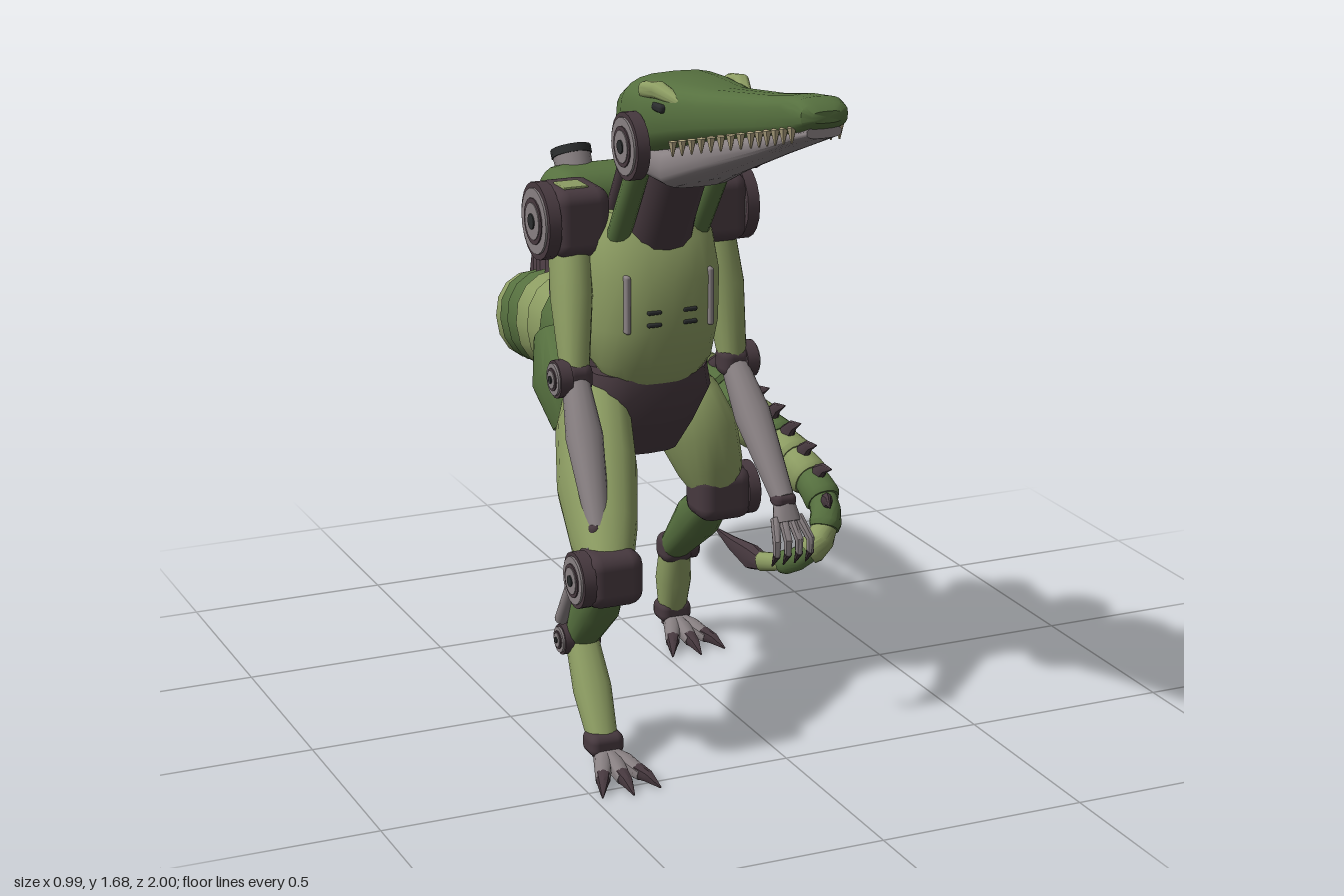
import * as THREE from 'three';
import { toCreasedNormals } from 'three/addons/utils/BufferGeometryUtils.js';
import { RoundedBoxGeometry } from 'three/addons/geometries/RoundedBoxGeometry.js';

const paint = (name, color) => {
  const m = new THREE.MeshStandardMaterial({ color });
  m.name = name;
  return m;
};
const V = (x, y, z) => new THREE.Vector3(x, y, z);
const X = V(1, 0, 0), Y = V(0, 1, 0);

export function createModel() {
  const root = new THREE.Group();
  root.name = 'mechanicalReptile';
  const dark = paint('darkGreen', 0x56703f), light = paint('lightGreen', 0x8c9c62);
  const plum = paint('darkPlum', 0x47393f), grey = paint('metalGrey', 0x888082);
  const black = paint('black', 0x2a2c2d), bone = paint('bone', 0xb3a683);

  const add = (parent, name, geo, mat, x = 0, y = 0, z = 0) => {
    const m = new THREE.Mesh(geo, mat);
    m.name = name;
    m.position.set(x, y, z);
    parent.add(m);
    return m;
  };
  const box = (parent, name, mat, w, h, d, x, y, z, r = 0.02) =>
    add(parent, name, new RoundedBoxGeometry(w, h, d, 2, Math.min(r, w / 2.1, h / 2.1, d / 2.1)), mat, x, y, z);

  // Skin through oval sections [x, y, z, a, b]; a lies along ref, e below 1 is boxier
  const loft = (parent, name, mat, pts, { ref = X, e = 0.85, n = 16, flat = null } = {}) => {
    const c = pts.map(p => V(p[0], p[1], p[2]));
    const pow = v => Math.sign(v) * Math.abs(v) ** e;
    const rings = pts.map((p, i) => {
      const t = flat ? flat.clone() : c[Math.min(i + 1, c.length - 1)].clone().sub(c[Math.max(i - 1, 0)]).normalize();
      const u = ref.clone().addScaledVector(t, -ref.dot(t)).normalize();
      const v = t.clone().cross(u);
      return Array.from({ length: n }, (_, j) => {
        const k = j / n * Math.PI * 2;
        return c[i].clone().addScaledVector(u, pow(Math.cos(k)) * p[3]).addScaledVector(v, pow(Math.sin(k)) * p[4]);
      });
    });
    const out = [], last = rings.length - 1;
    const tri = (...q) => q.forEach(p => out.push(p.x, p.y, p.z));
    for (let j = 0; j < n; j++) {
      const k = (j + 1) % n;
      tri(c[0], rings[0][k], rings[0][j]);
      tri(c[last], rings[last][j], rings[last][k]);
      for (let i = 0; i < last; i++) {
        tri(rings[i][j], rings[i][k], rings[i + 1][k]);
        tri(rings[i][j], rings[i + 1][k], rings[i + 1][j]);
      }
    }
    const g = new THREE.BufferGeometry();
    g.setAttribute('position', new THREE.Float32BufferAttribute(out, 3));
    return add(parent, name, toCreasedNormals(g, 0.7), mat);
  };
  const rod = (parent, name, mat, a, b, r0, r1 = r0, n = 12) =>
    loft(parent, name, mat, [[...a, r0, r0], [...b, r1, r1]], { e: 1, n, ref: Math.abs(a[0] - b[0]) > 0.05 ? Y : X });

  // Round joint with a stepped hub facing sideways
  const joint = (parent, name, x, y, z, r, side) => {
    const g = new THREE.Group();
    g.name = name;
    g.position.set(x, y, z);
    parent.add(g);
    [[r, 0.03, plum, 0], [r * 0.85, 0.036, grey, 0.002], [r * 0.6, 0.04, plum, 0.003],
      [r * 0.48, 0.042, grey, 0.004], [r * 0.2, 0.046, black, 0.005]].forEach(([q, h, mat, o], i) => {
      add(g, 'hubRing' + i, new THREE.CylinderGeometry(q, q, h, 20), mat, side * o).rotation.z = Math.PI / 2;
    });
  };

  const body = new THREE.Group();
  body.name = 'body';
  body.position.x = -0.155;
  root.add(body);

  // Chest, waist and pelvis
  loft(body, 'chest', light, [[0, 0.84, 0.06, 0.11, 0.08], [0, 0.89, 0.06, 0.145, 0.115], [0, 0.98, 0.05, 0.163, 0.145],
    [0, 1.1, 0.05, 0.165, 0.15], [0, 1.19, 0.04, 0.155, 0.13], [0, 1.25, 0.03, 0.12, 0.1]], { n: 24, flat: Y });
  loft(body, 'spine', plum, [[0, 0.8, -0.08, 0.14, 0.13], [0, 0.95, -0.07, 0.13, 0.14], [0, 1.2, -0.05, 0.15, 0.12]], { e: 0.6 });
  loft(body, 'pelvis', plum, [[0, 0.64, -0.05, 0.1, 0.1], [0, 0.72, -0.04, 0.13, 0.15], [0, 0.8, -0.02, 0.165, 0.16],
    [0, 0.86, 0, 0.15, 0.14]], { e: 0.7, flat: Y });
  for (const s of [-1, 1]) {
    box(body, 'chestVent', grey, 0.014, 0.14, 0.03, s * 0.105, 1.05, 0.168, 0.006);
    for (const y of [1.0, 1.03]) box(body, 'chestSlit', black, 0.035, 0.01, 0.02, s * 0.045, y, 0.188, 0.004);
    loft(body, 'hipArmour', dark, [[s * 0.13, 0.88, -0.2, 0.06, 0.06], [s * 0.15, 0.8, -0.12, 0.07, 0.1],
      [s * 0.14, 0.7, -0.07, 0.05, 0.08]]);
  }

  // Back armour and exhaust pack
  box(body, 'backArmour', dark, 0.37, 0.17, 0.19, 0, 1.23, -0.13, 0.06);
  for (const s of [-1, 1]) {
    box(body, 'packUpper', grey, 0.15, 0.15, 0.15, s * 0.085, 1.13, -0.17, 0.04);
    box(body, 'packLower', grey, 0.14, 0.13, 0.14, s * 0.08, 1.01, -0.17, 0.04);
    box(body, 'packBase', grey, 0.11, 0.1, 0.12, s * 0.06, 0.92, -0.16, 0.04);
    for (const [y, z] of [[1.335, -0.205], [1.225, -0.265]]) {
      rod(body, 'exhaust', grey, [s * 0.09, y - 0.11, z + 0.06], [s * 0.09, y, z], 0.042, 0.046, 16);
      rod(body, 'exhaustMouth', black, [s * 0.09, y - 0.01, z + 0.005], [s * 0.09, y + 0.008, z - 0.004], 0.049, 0.049, 16);
    }
  }

  // Neck
  loft(body, 'neck', plum, [[0, 1.14, 0.05, 0.09, 0.1], [0, 1.27, 0.13, 0.08, 0.085], [0, 1.44, 0.24, 0.08, 0.08]]);
  for (const s of [-1, 1]) {
    rod(body, 'neckStrut', dark, [s * 0.1, 1.2, 0.11], [s * 0.105, 1.4, 0.25], 0.028);
    rod(body, 'neckCable', plum, [s * 0.08, 1.22, 0.02], [s * 0.08, 1.46, 0.17], 0.02);
  }

  // Head: rows are [z, bottom, top, halfWidth]
  const slab = rows => rows.map(([z, b, t, w]) => [0, (b + t) / 2, z, w, (t - b) / 2]);
  const head = { e: 0.65, n: 24, flat: V(0, 0, 1) };
  loft(body, 'skull', dark, slab([[0.12, 1.47, 1.53, 0.08], [0.15, 1.42, 1.57, 0.12], [0.21, 1.41, 1.6, 0.135],
    [0.3, 1.43, 1.605, 0.13], [0.4, 1.465, 1.61, 0.105], [0.5, 1.495, 1.615, 0.078], [0.75, 1.555, 1.65, 0.055],
    [0.88, 1.585, 1.675, 0.057], [0.95, 1.605, 1.683, 0.06], [0.98, 1.62, 1.675, 0.054], [0.995, 1.635, 1.66, 0.035]]), head);
  loft(body, 'lowerJaw', grey, slab([[0.2, 1.38, 1.44, 0.09], [0.26, 1.365, 1.45, 0.105], [0.35, 1.36, 1.46, 0.1],
    [0.5, 1.42, 1.505, 0.072], [0.75, 1.515, 1.565, 0.05], [0.92, 1.58, 1.605, 0.05], [0.98, 1.6, 1.625, 0.04]]), head);
  for (const s of [-1, 1]) {
    joint(body, 'jawJoint', s * 0.143, 1.455, 0.29, 0.078, s);
    loft(body, 'browRidge', light, [[s * 0.105, 1.58, 0.29, 0.02, 0.02], [s * 0.1, 1.59, 0.35, 0.02, 0.02],
      [s * 0.08, 1.575, 0.43, 0.012, 0.01]]);
    box(body, 'eye', black, 0.02, 0.02, 0.05, s * 0.108, 1.555, 0.37, 0.008);
    for (let i = 0; i < 14; i++) {
      const z = 0.42 + i * 0.04, w = z < 0.75 ? 0.097 - (z - 0.42) * 0.13 : 0.055;
      const y = 1.475 + (z - 0.42) * 0.255;
      rod(body, 'tooth', bone, [s * w, y + 0.012, z], [s * w, y - 0.022, z], 0.011, 0.002, 6);
    }
  }

  // Tail of overlapping rings with a crest of spikes
  const curve = new THREE.CatmullRomCurve3([[-0.155, 0.86, -0.16], [-0.17, 0.86, -0.32], [-0.17, 0.835, -0.52],
    [-0.14, 0.79, -0.71], [-0.06, 0.74, -0.84], [0.1, 0.68, -0.915], [0.24, 0.6, -0.86], [0.34, 0.54, -0.71],
    [0.405, 0.47, -0.52], [0.44, 0.4, -0.32], [0.445, 0.34, -0.21], [0.41, 0.27, -0.165], [0.345, 0.22, -0.18],
    [0.29, 0.195, -0.27]].map(p => V(...p)));
  const tail = new THREE.Group();
  tail.name = 'tail';
  root.add(tail);
  const N = 27;
  for (let i = 0; i < N; i++) {
    const t = i / N, r = 0.118 * (1 - t) ** 0.75 + 0.014;
    const ring = (f, k) => [...curve.getPointAt(Math.min(1, (i + f) / N)).toArray(), r * k, r * k * 0.95];
    loft(tail, 'tailRing', i % 3 === 1 ? dark : i % 3 === 2 && i % 2 ? dark : light,
      [ring(0, 0.9), ring(0.5, 0.98), ring(0.95, 1.03), ring(1.12, 0.9)], { ref: Y, e: 0.9 });
    if (i < 2 || i > 23) continue;
    const p = curve.getPointAt((i + 0.5) / N), d = curve.getTangentAt((i + 0.5) / N);
    const up = Y.clone().addScaledVector(d, -d.y).normalize(), h = 0.03 + r * 0.35;
    const at = (o, f) => p.clone().addScaledVector(up, o).addScaledVector(d, f).toArray();
    loft(tail, 'tailSpike', plum, [[...at(r * 0.85, -0.01), h * 0.5, h * 0.35], [...at(r + h * 0.5, 0.005), h * 0.3, h * 0.2],
      [...at(r + h, 0.035), 0.002, 0.002]], { ref: d, n: 8, e: 1 });
  }
  loft(tail, 'tailBlade', plum, [[0.295, 0.195, -0.255, 0.02, 0.02], [0.285, 0.195, -0.31, 0.024, 0.035],
    [0.272, 0.205, -0.4, 0.014, 0.02], [0.26, 0.222, -0.485, 0.002, 0.002]], { n: 8 });

  // Legs: hip, mid thigh, knee, hock and ankle points
  const leg = (name, s, hip, mid, knee, hock, ankle) => {
    const g = new THREE.Group();
    g.name = name;
    root.add(g);
    const mix = (a, b, t) => a.map((v, i) => v + (b[i] - v) * t);
    loft(g, 'thigh', light, [[...hip, 0.06, 0.08], [...mix(hip, mid, 0.4), 0.085, 0.125], [...mid, 0.09, 0.13],
      [...mix(mid, knee, 0.6), 0.075, 0.1], [...knee, 0.055, 0.06]], { n: 20 });
    box(g, 'knee', plum, 0.14, 0.13, 0.125, ...knee, 0.035);
    joint(g, 'kneeHub', knee[0] + s * 0.07, knee[1], knee[2], 0.066, s);
    loft(g, 'shin', dark, [[...knee, 0.04, 0.04], [...mix(knee, hock, 0.45), 0.055, 0.058], [...hock, 0.038, 0.035]]);
    const o = s * 0.05;
    rod(g, 'shinPiston', grey, [knee[0] + o, knee[1] + 0.01, knee[2] - 0.06], [hock[0] + o, hock[1] + 0.05, hock[2]], 0.016);
    box(g, 'hock', plum, 0.085, 0.075, 0.075, ...hock, 0.025);
    joint(g, 'hockHub', hock[0] + s * 0.038, hock[1], hock[2], 0.036, s);
    loft(g, 'ankleBone', light, [[...hock, 0.038, 0.036], [...mix(hock, ankle, 0.5), 0.044, 0.044], [...ankle, 0.034, 0.034]]);
    const [x, y, z] = ankle;
    box(g, 'ankle', plum, 0.085, 0.055, 0.075, x, y, z, 0.02);
    for (const a of [-0.4, 0, 0.4]) {
      const q = (l, h) => [x + Math.sin(a) * l, h, z + Math.cos(a) * l];
      loft(g, 'toe', grey, [[...q(0.01, 0.035), 0.024, 0.024], [...q(0.07, 0.034), 0.021, 0.022], [...q(0.125, 0.02), 0.017, 0.016]], { n: 10 });
      loft(g, 'toeClaw', plum, [[...q(0.11, 0.024), 0.018, 0.019], [...q(0.145, 0.02), 0.013, 0.014], [...q(0.185, 0.004), 0.002, 0.002]], { n: 8 });
    }
    loft(g, 'heelClaw', plum, [[x, 0.035, z - 0.02, 0.02, 0.02], [x, 0.005, z - 0.06, 0.004, 0.004]], { n: 8 });
  };
  leg('rightLeg', -1, [-0.26, 0.79, -0.06], [-0.33, 0.63, 0.15], [-0.395, 0.475, 0.375], [-0.4, 0.27, 0.215], [-0.41, 0.065, 0.37]);
  leg('leftLeg', 1, [-0.045, 0.8, -0.08], [0.015, 0.65, -0.05], [0.055, 0.5, -0.01], [0.075, 0.25, -0.325], [0.085, 0.065, -0.365]);

  // Arms: shoulder, elbow and wrist points
  const arm = (name, s, sh, el, wr) => {
    const g = new THREE.Group();
    g.name = name;
    root.add(g);
    box(g, 'shoulder', plum, 0.14, 0.165, 0.17, sh[0] - s * 0.01, sh[1], sh[2], 0.035);
    joint(g, 'shoulderHub', sh[0] + s * 0.066, sh[1], sh[2], 0.092, s);
    box(g, 'shoulderPatch', light, 0.06, 0.006, 0.07, sh[0], sh[1] + 0.083, sh[2] + 0.02, 0.002);
    const m = sh.map((v, i) => (v + el[i]) / 2), f = el.map((v, i) => v * 0.6 + wr[i] * 0.4);
    loft(g, 'upperArm', light, [[sh[0], sh[1] - 0.05, sh[2], 0.045, 0.06], [...m, 0.046, 0.062], [...el, 0.032, 0.036]]);
    box(g, 'elbow', plum, 0.075, 0.075, 0.075, ...el, 0.025);
    joint(g, 'elbowHub', el[0] + s * 0.036, el[1], el[2], 0.045, s);
    loft(g, 'forearm', grey, [[...el, 0.03, 0.032], [...f, 0.042, 0.046], [...wr, 0.026, 0.028]]);
    box(g, 'wrist', plum, 0.056, 0.035, 0.05, ...wr, 0.015);
    const [x, y, z] = wr;
    loft(g, 'palm', grey, [[x, y, z, 0.025, 0.02], [x, y - 0.05, z + 0.025, 0.035, 0.02]]);
    for (const k of [-1.5, -0.5, 0.5, 1.5]) {
      const px = x + k * 0.02, qx = x + k * 0.029;
      loft(g, 'finger', grey, [[px, y - 0.04, z + 0.02, 0.011, 0.012], [qx, y - 0.085, z + 0.06, 0.01, 0.011],
        [qx, y - 0.12, z + 0.058, 0.008, 0.009]], { n: 8 });
      rod(g, 'fingerClaw', plum, [qx, y - 0.115, z + 0.06], [qx, y - 0.15, z + 0.035], 0.01, 0.002, 8);
    }
  };
  arm('rightArm', -1, [-0.34, 1.23, 0.01], [-0.375, 0.88, 0.13], [-0.4, 0.575, 0.33]);
  arm('leftArm', 1, [0.03, 1.23, 0.01], [0.06, 0.85, 0.06], [0.082, 0.57, 0.3]);

  return root;
}
